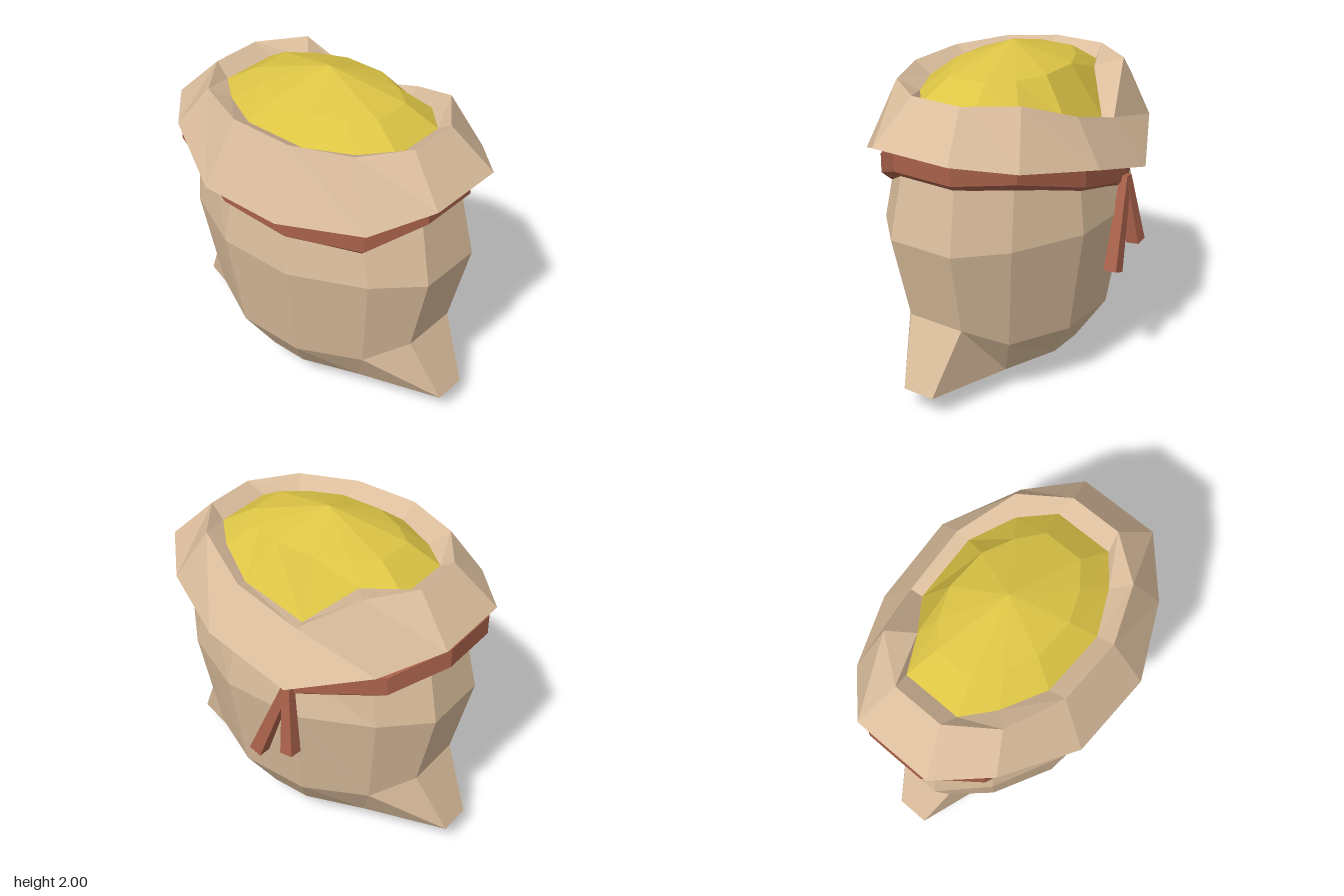
import * as THREE from 'three';

// Skins a list of equal-length point loops with flat faces
function loft(loops, closed = false) {
  const pos = [];
  const tri = (a, b, c) => {
    if (a.distanceTo(b) < 1e-5 || b.distanceTo(c) < 1e-5 || a.distanceTo(c) < 1e-5) return;
    for (const p of [a, b, c]) pos.push(p.x, p.y, p.z);
  };
  const last = closed ? loops.length : loops.length - 1;
  for (let k = 0; k < last; k++) {
    const lo = loops[k], hi = loops[(k + 1) % loops.length], n = lo.length;
    for (let i = 0; i < n; i++) {
      const j = (i + 1) % n;
      tri(lo[i], hi[i], hi[j]);
      tri(lo[i], hi[j], lo[j]);
    }
  }
  const g = new THREE.BufferGeometry();
  g.setAttribute('position', new THREE.Float32BufferAttribute(pos, 3));
  g.computeVertexNormals();
  return g;
}

// Twelve-point ring mirrored from one quarter (side to front); y is a height or one height per point
function ring(quarter, y) {
  const [a, b, c] = quarter;
  const all = [];
  for (const [q, sx, sz] of [
    [[a, b, c], 1, 1], [[c, b, a], -1, 1], [[a, b, c], -1, -1], [[c, b, a], 1, -1]]) {
    for (const [x, z] of q) all.push([x * sx, z * sz]);
  }
  return all.map(([x, z], i) => new THREE.Vector3(x, Array.isArray(y) ? y[i] : y, z));
}

const point = (y) => ring([[0, 0], [0, 0], [0, 0]], y);

export function createModel() {
  const model = new THREE.Group();
  const cloth = new THREE.MeshStandardMaterial({ color: 0xdabd9c });
  const grain = new THREE.MeshStandardMaterial({ color: 0xdcc445 });
  const cord = new THREE.MeshStandardMaterial({ color: 0xa8614a });
  const add = (name, geometry, material) => {
    const mesh = new THREE.Mesh(geometry, material);
    mesh.name = name;
    model.add(mesh);
    return mesh;
  };

  // Heights of the cord around the neck; it sags at the front and at the knot
  const cordY = [1.49, 1.35, 1.35, 1.37, 1.5, 1.5, 1.5, 1.38, 1.25, 1.37, 1.49, 1.49];

  // Top of the contents, irregular where the rim dips at the back
  const fillEdge = ring([[0.63, 0.18], [0.46, 0.32], [0.2, 0.45]], 1.76);
  fillEdge[7].set(-0.42, 1.78, -0.29);
  fillEdge[8].set(-0.19, 1.57, -0.485);
  fillEdge[9].set(0.21, 1.67, -0.485);
  fillEdge[10].set(0.46, 1.75, -0.35);

  // Sack body, from the pinched bottom corners to the neck
  const neck = ring([[0.79, 0.17], [0.58, 0.41], [0.21, 0.58]], cordY.map((y) => y + 0.06));
  const low = [0.52, 0.39, 0.39];
  const lowY = [...low, ...low.slice().reverse(), ...low, ...low.slice().reverse()];
  add('sackBody', loft([
    point(0),
    ring([[0.96, 0.1], [0.46, 0.26], [0.12, 0.385]], 0.14),
    ring([[0.78, 0.18], [0.57, 0.36], [0.21, 0.54]], lowY),
    ring([[0.9, 0.205], [0.66, 0.44], [0.24, 0.64]], 1.03),
    neck,
  ]), cloth);

  // Folded-over rim: underside, outside and inner wall
  const rimY = [1.585, 1.45, 1.45, 1.45, 1.58, 1.585, 1.585, 1.45, 1.3, 1.45, 1.52, 1.585];
  const topY = Array(12).fill(1.83);
  topY[8] = 1.58;
  topY[9] = 1.7;
  add('foldedRim', loft([
    neck,
    ring([[0.966, 0.25], [0.707, 0.52], [0.26, 0.745]], rimY),
    ring([[0.73, 0.16], [0.54, 0.42], [0.2, 0.56]], topY),
    fillEdge,
  ]), cloth);

  // Heaped contents
  add('grainPile', loft([
    fillEdge,
    ring([[0.45, 0.12], [0.31, 0.23], [0.13, 0.31]], 1.875),
    point(2),
  ]), grain);

  // Six-sided cord around the neck, hanging looser on the model's right
  const path = ring([[0.8, 0.17], [0.6, 0.42], [0.21, 0.57]], cordY);
  for (const i of [4, 5, 6, 7]) path[i].x -= 0.09;
  const cordLoops = path.map((p) => {
    const out = new THREE.Vector3(p.x, 0, p.z * 1.4).normalize();
    return Array.from({ length: 6 }, (_, j) => {
      const a = -(j + 0.5) * Math.PI / 3;
      const q = p.clone().addScaledVector(out, Math.cos(a) * 0.08);
      q.y += Math.sin(a) * 0.08 * 1.6 * 0.92;
      return q;
    });
  });
  add('neckCord', loft(cordLoops, true), cord);

  // Two loose cord ends below the knot
  const knot = new THREE.Vector3(-0.21, 1.24, -0.645);
  for (const [name, end] of [
    ['longCordEnd', new THREE.Vector3(-0.02, 0.71, -0.69)],
    ['shortCordEnd', new THREE.Vector3(-0.26, 0.82, -0.7)]]) {
    const dir = knot.clone().sub(end);
    const geometry = new THREE.CylinderGeometry(0.035, 0.058, dir.length(), 4, 1)
      .rotateY(Math.PI / 4).toNonIndexed();
    geometry.computeVertexNormals();
    const tail = add(name, geometry, cord);
    tail.position.copy(knot).add(end).multiplyScalar(0.5);
    tail.quaternion.setFromUnitVectors(new THREE.Vector3(0, 1, 0), dir.normalize());
  }

  return model;
}
